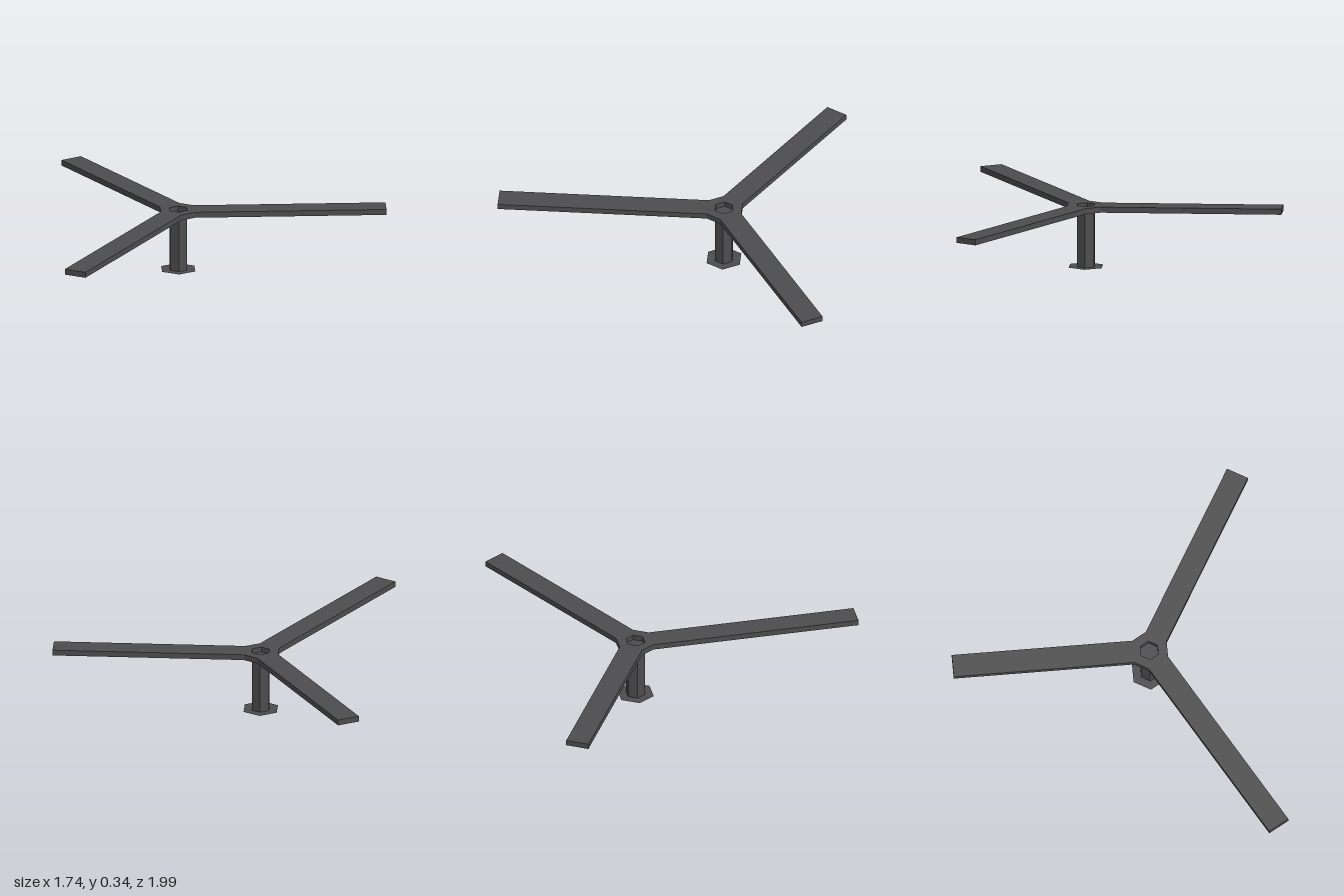
import * as THREE from 'three';

export function createModel() {
  const model = new THREE.Group();
  model.name = 'threeArmRotor';
  const gray = new THREE.MeshStandardMaterial({ color: 0x4d4d4f, side: THREE.DoubleSide, flatShading: true });
  gray.name = 'darkGray';

  const R = 0.052, postTop = 0.3, thickness = 0.03;
  const add = (parent, name, geometry, y) => {
    const mesh = new THREE.Mesh(geometry, gray);
    mesh.name = name;
    mesh.position.y = y;
    parent.add(mesh);
    return mesh;
  };

  const body = new THREE.Group();
  body.name = 'rotor';
  body.position.set(-0.225, 0, -0.073);
  model.add(body);

  // hub and three arms as one plate, arms of slightly different length
  const root = 0.085, half = 0.061;
  const outline = [];
  [1.096, 1.04, 1.192].forEach((length, i) => {
    const a = i * Math.PI * 2 / 3;
    for (const [d, w] of [[root, -half], [length, -half], [length, half], [root, half]]) {
      outline.push(new THREE.Vector2(d, w).rotateAround(new THREE.Vector2(), a));
    }
  });
  const shape = new THREE.Shape(outline);
  const hole = [];
  for (let i = 0; i < 6; i++) {
    const a = Math.PI / 2 - i * Math.PI / 3;
    hole.push(new THREE.Vector2(R * Math.cos(a), R * Math.sin(a)));
  }
  shape.holes.push(new THREE.Path(hole));
  const plate = new THREE.ExtrudeGeometry(shape, { depth: thickness, bevelEnabled: false });
  plate.rotateX(-Math.PI / 2);
  const arms = add(body, 'hubAndArms', plate, postTop);
  arms.rotation.x = 0.0075; // slight lean toward the front

  // hollow hexagonal post, closed at the top inside the hub
  add(body, 'post', new THREE.CylinderGeometry(R, R, postTop, 6, 1, true), postTop / 2);
  const cap = new THREE.CircleGeometry(R, 6, Math.PI / 2).rotateX(-Math.PI / 2);
  add(body, 'postCap', cap, postTop + 0.002);

  // thin flange around the foot of the post
  const flange = new THREE.RingGeometry(R, 0.101, 6, 1, Math.PI / 2).rotateX(-Math.PI / 2);
  add(body, 'footFlange', flange, 0);

  return model;
}
